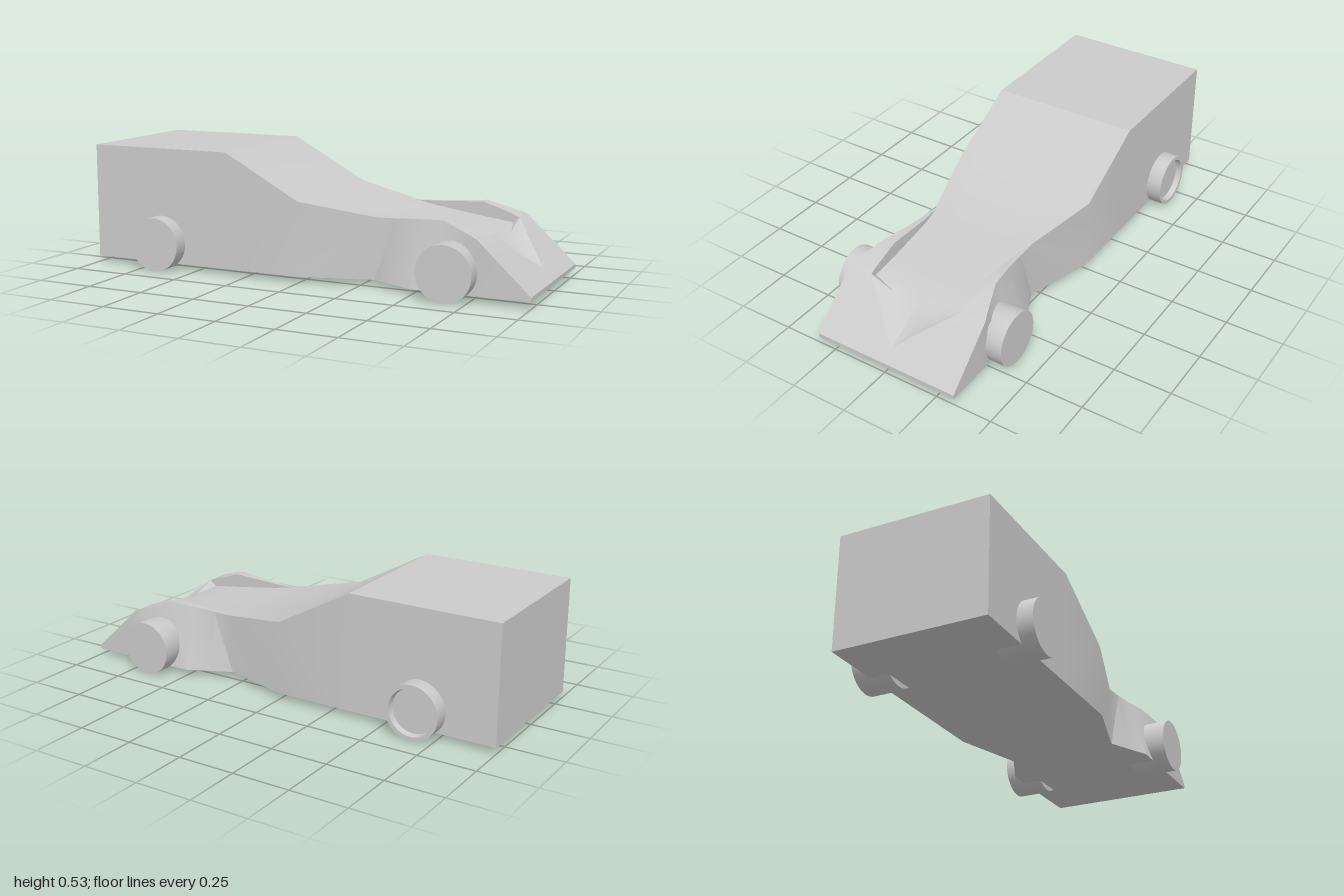
import * as THREE from 'three';
import { toCreasedNormals } from 'three/addons/utils/BufferGeometryUtils.js';

const material = new THREE.MeshStandardMaterial({ color: 0xcccccc });
const FLOOR = 0.027;

// Cross-sections along the car:
// x, sill half-width, shoulder half-width, shoulder height,
// hood half-width, hood edge height, hood mid height, hood centre height
const sections = [
  [-1, 0.332, 0.332, 0.53, 0.23, 0.53, 0.53, 0.53],
  [-0.34, 0.332, 0.332, 0.53, 0.23, 0.53, 0.53, 0.53],
  [0, 0.332, 0.332, 0.345, 0.23, 0.345, 0.345, 0.345],
  [0.31, 0.243, 0.243, 0.29, 0.235, 0.29, 0.29, 0.29],
  [0.4, 0.285, 0.248, 0.293, 0.228, 0.274, 0.274, 0.274],
  [0.5, 0.332, 0.255, 0.299, 0.224, 0.26, 0.26, 0.26],
  [0.62, 0.332, 0.274, 0.306, 0.222, 0.243, 0.243, 0.243],
  [0.75, 0.332, 0.32, 0.262, 0.222, 0.226, 0.223, 0.222],
  [0.78, 0.332, 0.332, 0.25, 0.22, 0.25, 0.208, 0.19],
  [0.865, 0.332, 0.332, 0.171, 0.11, 0.171, 0.145, 0.13],
  [0.95, 0.332, 0.332, 0.092, 0.004, 0.092, 0.092, 0.092],
  [1, 0.332, 0.332, 0.045, 0.004, 0.045, 0.045, 0.045],
];

// Closed outline of one cross-section, from the +z sill over the top to the -z sill
function ring([x, sill, shoulder, top, hood, edge, mid, centre]) {
  const half = [[sill, FLOOR], [shoulder, top], [hood, top], [hood, edge], [hood / 2, mid]];
  const outline = [...half, [0, centre], ...half.slice().reverse().map(([z, y]) => [-z, y])];
  return outline.map(([z, y]) => new THREE.Vector3(x, y, z));
}

function bodyGeometry() {
  const positions = [];
  const triangle = (a, b, c) => {
    const area = b.clone().sub(a).cross(c.clone().sub(a)).length();
    if (area > 1e-8) for (const p of [a, b, c]) positions.push(p.x, p.y, p.z);
  };
  const rings = sections.map(ring);
  const n = rings[0].length;
  for (let i = 0; i < rings.length - 1; i++) {
    for (let j = 0; j < n; j++) {
      const k = (j + 1) % n;
      const [a, b, c, d] = [rings[i][j], rings[i + 1][j], rings[i + 1][k], rings[i][k]];
      // Mirror the diagonal so both sides match
      if (j < n / 2) { triangle(a, b, c); triangle(a, c, d); }
      else { triangle(a, b, d); triangle(b, c, d); }
    }
  }
  // Flat tail and thin nose edge
  const cap = (r, flip) => {
    const [a, b, c, d] = [r[0], r[1], r[n - 2], r[n - 1]];
    if (flip) { triangle(a, c, b); triangle(a, d, c); }
    else { triangle(a, b, c); triangle(a, c, d); }
  };
  cap(rings[0], false);
  cap(rings[rings.length - 1], true);
  const geometry = new THREE.BufferGeometry();
  geometry.setAttribute('position', new THREE.Float32BufferAttribute(positions, 3));
  return toCreasedNormals(geometry, 0.4);
}

// Wheel turned about its axle; a hollow one has a recessed outer face
function wheelGeometry(inner, outer, hollow) {
  const r = 0.117;
  const profile = [[0, inner], [r - 0.004, inner], [r, inner + 0.01]];
  if (hollow) profile.push([r, outer], [0.1, outer], [0.095, outer - 0.025], [0, outer - 0.025]);
  else profile.push([r, outer], [0, outer]);
  const geometry = new THREE.LatheGeometry(profile.map(([x, y]) => new THREE.Vector2(x, y)), 48);
  return toCreasedNormals(geometry, 0.5);
}

export function createModel() {
  const model = new THREE.Group();
  model.name = 'blockCar';

  const body = new THREE.Mesh(bodyGeometry(), material);
  body.name = 'body';
  model.add(body);

  const wheels = [
    ['frontWheelNear', 0.665, 1, 0.224, 0.4, false],
    ['frontWheelFar', 0.665, -1, 0.245, 0.403, false],
    ['rearWheelNear', -0.665, 1, 0.224, 0.4, false],
    ['rearWheelFar', -0.665, -1, 0.245, 0.4, true],
  ];
  for (const [name, x, side, inner, outer, hollow] of wheels) {
    const wheel = new THREE.Mesh(wheelGeometry(inner, outer, hollow), material);
    wheel.name = name;
    wheel.position.set(x, 0.117, 0);
    wheel.rotation.x = side * Math.PI / 2;
    model.add(wheel);
  }
  return model;
}
